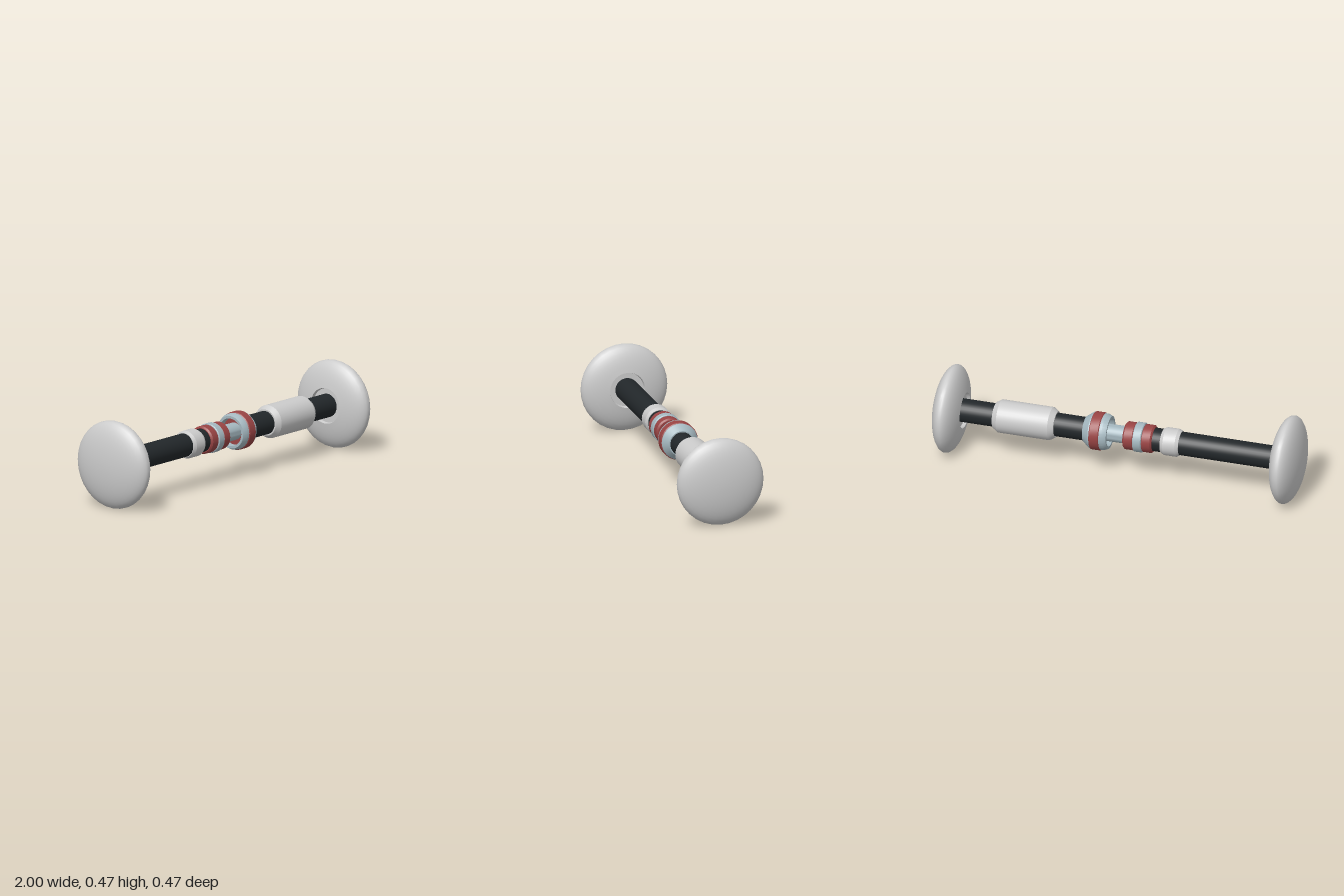
import * as THREE from 'three';
import { toCreasedNormals } from 'three/addons/utils/BufferGeometryUtils.js';

const GREY = 0xcccccc, BLACK = 0x22272a, RED = 0x994444, STEEL = 0xa5b8c0;
const SEGMENTS = 32;

// Turned part along the x axis; profile is a list of [x, radius]
function turned(name, color, profile) {
  const points = profile.map(([x, r]) => new THREE.Vector2(r, x));
  const lathe = new THREE.LatheGeometry(points, SEGMENTS).rotateZ(-Math.PI / 2);
  const material = new THREE.MeshStandardMaterial({ color, side: THREE.DoubleSide });
  const mesh = new THREE.Mesh(toCreasedNormals(lathe, 0.45), material);
  mesh.name = name;
  return mesh;
}

// Solid ring or bar with bevelled rims: c is the bevel length, d its depth
function bevelled(name, color, x0, x1, r, c = 0, d = c) {
  const profile = c
    ? [[x0, 0], [x0, r - d], [x0 + c, r], [x1 - c, r], [x1, r - d], [x1, 0]]
    : [[x0, 0], [x0, r], [x1, r], [x1, 0]];
  return turned(name, color, profile);
}

// Domed end disc with a shallow round socket on its inner face
function endDisc(name) {
  const R = 0.2345, socket = 0.095, half = 0.08, steps = 20;
  const start = Math.asin(socket / R);
  const profile = [[-0.055, 0], [-0.055, socket - 0.004]];
  for (let i = 0; i <= steps; i++) {
    const a = start + (Math.PI - start) * i / steps;
    profile.push([-half * Math.cos(a), i === steps ? 0 : R * Math.sin(a)]);
  }
  return turned(name, GREY, profile);
}

export function createModel() {
  const model = new THREE.Group();
  model.name = 'doubleEndedStaff';

  // End discs, mirrored
  for (const side of [1, -1]) {
    const disc = endDisc(side > 0 ? 'leftEndDisc' : 'rightEndDisc');
    disc.position.x = side * 0.92;
    if (side < 0) disc.rotation.y = Math.PI;
    model.add(disc);
  }

  model.add(
    // Shafts
    bevelled('rightShaft', BLACK, -0.88, -0.17, 0.062),
    bevelled('leftShaft', BLACK, 0.17, 0.88, 0.062),
    bevelled('centreNeck', STEEL, -0.06, 0.15, 0.046),

    // Grips
    bevelled('smallCollar', GREY, -0.335, -0.235, 0.074, 0.017, 0.009),
    bevelled('longGrip', GREY, 0.345, 0.68, 0.088, 0.028, 0.018),

    // Banded coupling on the right
    bevelled('outerRedBand', RED, -0.19, -0.13, 0.074, 0.008),
    bevelled('steelBand', STEEL, -0.135, -0.088, 0.079, 0.004),
    bevelled('innerRedBand', RED, -0.092, -0.032, 0.074, 0.008),

    // Hollow cup facing the neck, with its red band
    turned('couplingCup', STEEL, [
      [0.13, 0], [0.13, 0.07], [0.052, 0.074], [0.052, 0.087], [0.075, 0.097],
      [0.15, 0.097], [0.188, 0.068], [0.188, 0],
    ]),
    bevelled('cupRedBand', RED, 0.088, 0.146, 0.101, 0.006),
  );

  model.position.y = 0.2345;
  const root = new THREE.Group();
  root.add(model);
  return root;
}
